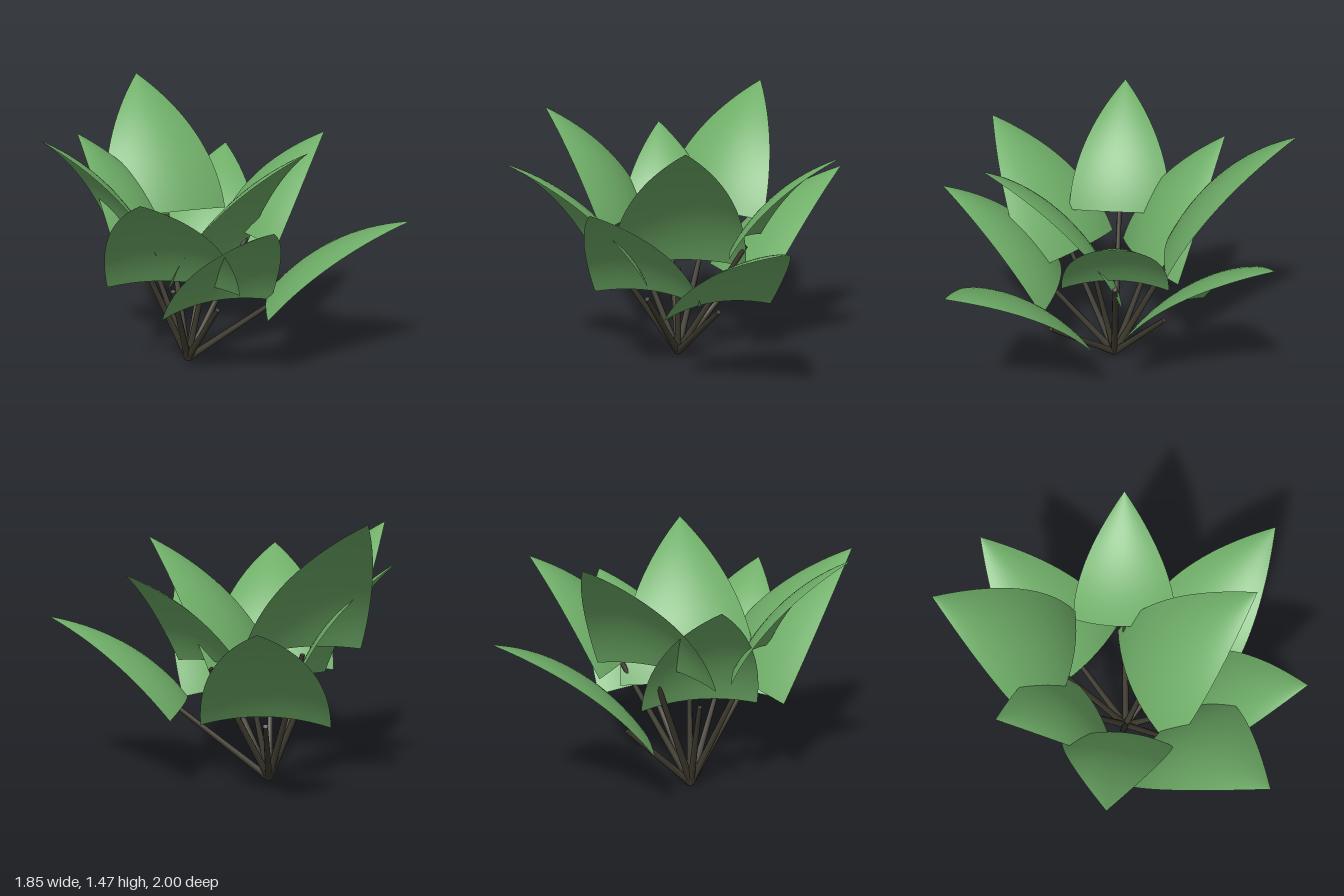
import * as THREE from 'three';

const ROOT = new THREE.Vector3(-0.24, 0, 0.04);
const UP = new THREE.Vector3(0, 1, 0);

// Each leaf: tip position, distance of the blade base from the root axis, its height, half width
const LEAVES = [
  { tip: [0.925, 0.89, -0.23], reach: 0.50, height: 0.40, half: 0.315 },
  { tip: [0.505, 1.025, 0.635], reach: 0.37, height: 0.435, half: 0.32 },
  { tip: [0.00, 1.20, 1.00], reach: 0.35, height: 0.545, half: 0.352 },
  { tip: [-0.725, 1.37, 0.70], reach: 0.323, height: 0.76, half: 0.288 },
  { tip: [-0.925, 1.23, 0.00], reach: 0.22, height: 0.56, half: 0.30 },
  { tip: [-0.88, 1.465, -0.62], reach: 0.346, height: 0.76, half: 0.35 },
  { tip: [-0.47, 1.00, -1.00], reach: 0.37, height: 0.40, half: 0.332 },
  { tip: [0.27, 1.20, -0.72], reach: 0.40, height: 0.675, half: 0.28 },
  { tip: [0.495, 1.30, 0.16], reach: 0.125, height: 0.545, half: 0.37 },
];

// Blade surface: swept along a bowed spine, tapering to a point, arched across its width
function bladeGeometry(base, tip, side, half) {
  const rows = 18, cols = 12;
  const chord = tip.clone().sub(base);
  const bow = chord.clone().cross(side).normalize().multiplyScalar(chord.length() * 0.145);
  const control = base.clone().add(tip).multiplyScalar(0.5).add(bow);
  const spine = new THREE.QuadraticBezierCurve3(base, control, tip);
  const positions = [], index = [];
  for (let i = 0; i <= rows; i++) {
    const t = i / rows;
    const centre = spine.getPoint(t);
    const normal = spine.getTangent(t).cross(side).normalize();
    const width = half * (1 - Math.pow(t, 1.9));
    for (let j = 0; j <= cols; j++) {
      const q = (j / cols) * 2 - 1;
      const p = centre.clone()
        .addScaledVector(side, q * width)
        .addScaledVector(normal, 0.2 * width * (1 - q * q));
      positions.push(p.x, p.y, p.z);
      if (i < rows && j < cols) {
        const a = i * (cols + 1) + j, b = a + cols + 1;
        index.push(a, b, a + 1);
        if (i < rows - 1) index.push(b, b + 1, a + 1);
      }
    }
  }
  const geometry = new THREE.BufferGeometry();
  geometry.setAttribute('position', new THREE.Float32BufferAttribute(positions, 3));
  geometry.setIndex(index);
  geometry.computeVertexNormals();
  return geometry;
}

// Slender tapered stalk between two points
function stemMesh(from, to, material) {
  const along = to.clone().sub(from);
  const mesh = new THREE.Mesh(new THREE.CylinderGeometry(0.013, 0.02, along.length(), 8), material);
  mesh.position.copy(from).addScaledVector(along, 0.5);
  mesh.quaternion.setFromUnitVectors(UP, along.normalize());
  mesh.name = 'stem';
  return mesh;
}

export function createModel() {
  const plant = new THREE.Group();
  plant.name = 'leafyPlant';
  const leafMaterial = new THREE.MeshStandardMaterial({ color: 0x6fae68, side: THREE.DoubleSide });
  const stemMaterial = new THREE.MeshStandardMaterial({ color: 0x3e3a2f });
  const foot = ROOT.clone().setY(0.012);

  for (const { tip, reach, height, half } of LEAVES) {
    const end = new THREE.Vector3(...tip);
    const outward = end.clone().sub(ROOT).setY(0).normalize();
    const side = UP.clone().cross(outward);
    const base = ROOT.clone().addScaledVector(outward, reach).setY(height);

    const leaf = new THREE.Group();
    leaf.name = 'leaf';
    const blade = new THREE.Mesh(bladeGeometry(base, end, side, half), leafMaterial);
    blade.name = 'leafBlade';
    leaf.add(blade, stemMesh(foot, base, stemMaterial));
    plant.add(leaf);
  }
  return plant;
}
